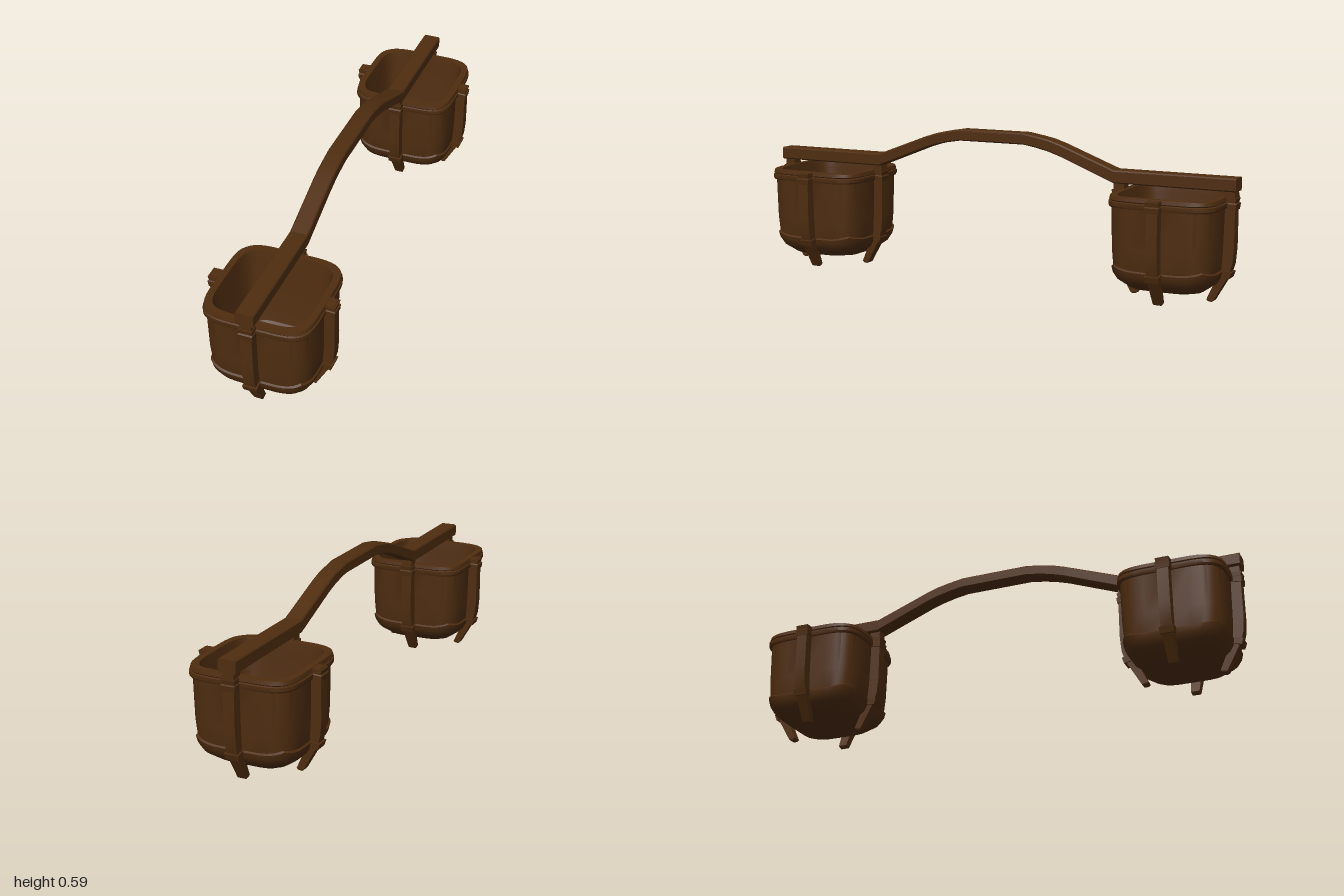
import * as THREE from 'three';
import { toCreasedNormals } from 'three/addons/utils/BufferGeometryUtils.js';

const wood = new THREE.MeshStandardMaterial({ color: 0x4f2d10 });

// Skin a list of equal-sized point loops and cap both ends.
function loft(sections, crease) {
  const n = sections[0].length;
  const last = (sections.length - 1) * n;
  const index = [];
  for (let k = 0; k < sections.length - 1; k++) {
    for (let i = 0; i < n; i++) {
      const j = (i + 1) % n;
      const a = k * n + i, b = k * n + j, c = b + n, d = a + n;
      index.push(a, b, c, a, c, d);
    }
  }
  for (let i = 1; i < n - 1; i++) {
    index.push(0, i + 1, i, last, last + i, last + i + 1);
  }
  const geometry = new THREE.BufferGeometry();
  geometry.setAttribute('position', new THREE.Float32BufferAttribute(sections.flat(2), 3));
  geometry.setIndex(index);
  return toCreasedNormals(geometry, crease);
}

function part(name, geometry) {
  const mesh = new THREE.Mesh(geometry, wood);
  mesh.name = name;
  return mesh;
}

// Rounded-square loop; the corners can be lifted to give the wavy lower edge.
function roundedSquare(half, y, lift) {
  const loop = [];
  const n = 48, power = 2 / 5;
  const bend = (v) => Math.sign(v) * Math.abs(v) ** power;
  for (let i = 0; i < n; i++) {
    const t = (i / n) * Math.PI * 2;
    const x = bend(Math.cos(t)), z = -bend(Math.sin(t));
    const corner = Math.min(Math.abs(x), Math.abs(z)) / 0.87;
    loop.push([half * x, y + lift * corner ** 4, half * z]);
  }
  return loop;
}

// Outer wall, rim and inner wall in one profile: half width, height, corner lift.
const basketProfile = [
  [0.1, 0.04, 0], [0.14, 0.046, 0.004], [0.18, 0.075, 0.008], [0.195, 0.1, 0.012],
  [0.2, 0.12, 0.016], [0.194, 0.125, 0.016], [0.199, 0.2, 0], [0.202, 0.358, 0],
  [0.209, 0.358, 0], [0.212, 0.364, 0], [0.212, 0.378, 0], [0.207, 0.381, 0],
  [0.21, 0.385, 0], [0.207, 0.4, -0.003], [0.182, 0.4, -0.003], [0.177, 0.365, 0],
  [0.165, 0.15, 0], [0.15, 0.09, 0], [0.125, 0.065, 0],
];

// Strap pieces: each row is inner x, inner y, outer x, outer y, half width.
const strapSection = ([xi, yi, xo, yo, w]) =>
  [[xi, yi, w], [xo, yo, w], [xo, yo, -w], [xi, yi, -w]];
const strapGeometry = (rows) => loft(rows.map(strapSection), 0.3);

function makeStrap(top) {
  const group = new THREE.Group();
  group.add(part('strap', strapGeometry([
    [0.187, 0.11, 0.222, 0.105, 0.022],
    [0.19, 0.15, 0.235, 0.15, 0.022],
    [0.192, 0.21, 0.24, 0.21, 0.022],
    [0.195, 0.36, 0.24, 0.36, 0.022],
    [0.195, top, 0.238, top, 0.022],
  ])));
  group.add(part('foot', strapGeometry([
    [0.143, 0.002, 0.157, 0, 0.014],
    [0.138, 0.009, 0.164, 0.004, 0.017],
    [0.185, 0.112, 0.221, 0.105, 0.022],
  ])));
  group.add(part('lowerBand', strapGeometry([
    [0.183, 0.105, 0.226, 0.096, 0.027],
    [0.186, 0.128, 0.234, 0.119, 0.028],
  ])));
  group.add(part('rimClasp', strapGeometry([
    [0.195, 0.358, 0.243, 0.352, 0.027],
    [0.195, 0.376, 0.246, 0.374, 0.028],
    [0.195, 0.38, 0.241, 0.378, 0.025],
    [0.195, 0.397, 0.245, 0.395, 0.026],
  ])));
  return group;
}

function makeBasket() {
  const basket = new THREE.Group();
  basket.add(part('basketShell', loft(basketProfile.map((p) => roundedSquare(...p)), 0.5)));
  for (let k = 0; k < 4; k++) {
    // Straps under the pole reach up to carry it.
    const strap = makeStrap(k % 2 ? 0.43 : 0.398);
    strap.name = k % 2 ? 'carryingStrap' : 'sideStrap';
    strap.rotation.y = (k * Math.PI) / 2;
    basket.add(strap);
  }
  return basket;
}

// Arched pole: z, centre height, half height for one half, mirrored to the other.
function makePole() {
  const half = [
    [1, 0.445, 0.025], [0.52, 0.445, 0.025], [0.3, 0.53, 0.023],
    [0.25, 0.546, 0.023], [0.2, 0.557, 0.022], [0.14, 0.567, 0.022],
  ];
  const path = [...half.map(([z, y, h]) => [-z, y, h]), ...half.slice().reverse()];
  const w = 0.035, b = 0.005;
  const sections = path.map(([z, y, h]) => [
    [w, y - h + b, z], [w, y + h - b, z], [w - b, y + h, z], [b - w, y + h, z],
    [-w, y + h - b, z], [-w, y - h + b, z], [b - w, y - h, z], [w - b, y - h, z],
  ]);
  return part('carryingPole', loft(sections, 0.35));
}

export function createModel() {
  const model = new THREE.Group();
  model.name = 'shoulderPoleWithBaskets';
  model.add(makePole());
  for (const side of [1, -1]) {
    const basket = makeBasket();
    basket.name = side > 0 ? 'frontBasket' : 'backBasket';
    basket.position.z = side * 0.755;
    model.add(basket);
  }
  return model;
}
